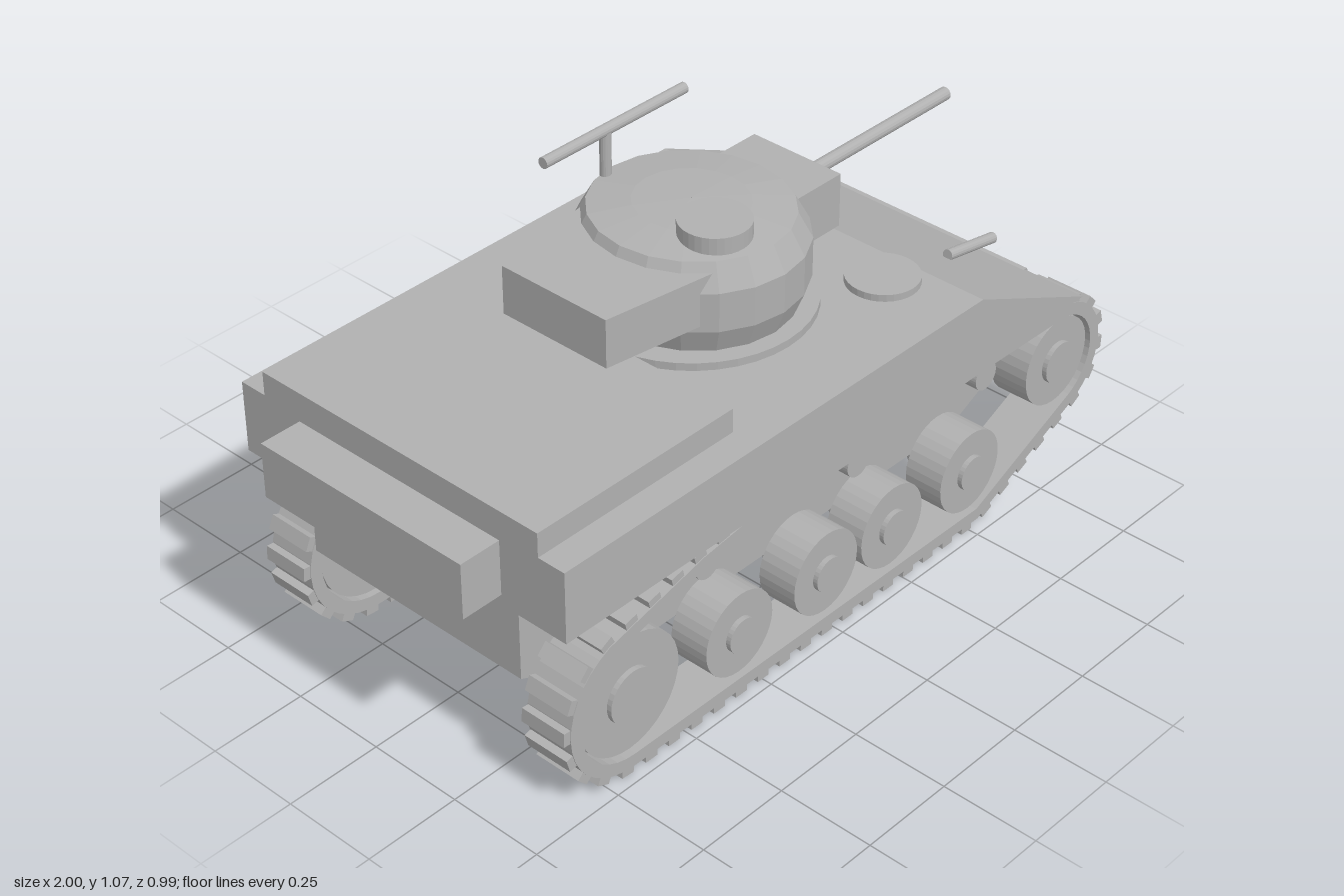
import * as THREE from 'three';

const steel = new THREE.MeshStandardMaterial({ color: 0xb0b0b0 });
steel.name = 'bare steel';
steel.flatShading = true;

function add(parent, name, geometry, x = 0, y = 0, z = 0) {
  const mesh = new THREE.Mesh(geometry, steel);
  mesh.name = name;
  mesh.position.set(x, y, z);
  parent.add(mesh);
  return mesh;
}

// Box given by its limits
function box(parent, name, [x0, x1], [y0, y1], [z0, z1]) {
  return add(parent, name, new THREE.BoxGeometry(x1 - x0, y1 - y0, z1 - z0),
    (x0 + x1) / 2, (y0 + y1) / 2, (z0 + z1) / 2);
}

// Side outline in x, y, extruded across z
function slab(parent, name, points, z0, z1, hole) {
  const shape = new THREE.Shape(points.map(([x, y]) => new THREE.Vector2(x, y)));
  if (hole) shape.holes.push(new THREE.Path(hole.map(([x, y]) => new THREE.Vector2(x, y))));
  const g = new THREE.ExtrudeGeometry(shape, { depth: z1 - z0, bevelEnabled: false });
  return add(parent, name, g, 0, 0, z0);
}

// Round bar between two points
function rod(parent, name, a, b, radius, sides = 32) {
  const from = new THREE.Vector3(...a), to = new THREE.Vector3(...b);
  const dir = to.clone().sub(from);
  const mesh = add(parent, name, new THREE.CylinderGeometry(radius, radius, dir.length(), sides));
  mesh.position.copy(from).add(to).multiplyScalar(0.5);
  mesh.quaternion.setFromUnitVectors(new THREE.Vector3(0, 1, 0), dir.normalize());
  return mesh;
}

// Outer line of the track, counter-clockwise
function trackLine() {
  const pts = [];
  const arc = (cx, cy, r, a0, a1, n) => {
    for (let i = 0; i <= n; i++) {
      const a = THREE.MathUtils.degToRad(a0 + (a1 - a0) * i / n);
      pts.push([cx + r * Math.cos(a), cy + r * Math.sin(a)]);
    }
  };
  arc(-0.67, 0.213, 0.195, 112, 270, 16);
  pts.push([0.53, 0.018]);
  arc(0.815, 0.325, 0.163, -64, 86, 16);
  pts.push([0.5, 0.492], [-0.3, 0.485], [-0.45, 0.465]);
  return pts;
}

// Move every point of a closed line inward
function inset(pts, d) {
  const n = pts.length;
  return pts.map(([x, y], i) => {
    const [ax, ay] = pts[(i + n - 1) % n], [bx, by] = pts[(i + 1) % n];
    const l1 = Math.hypot(x - ax, y - ay), l2 = Math.hypot(bx - x, by - y);
    const tx = (x - ax) / l1 + (bx - x) / l2, ty = (y - ay) / l1 + (by - y) / l2;
    const l = Math.hypot(tx, ty);
    return [x - ty / l * d, y + tx / l * d];
  });
}

function runningGear(side) {
  const gear = new THREE.Group();
  gear.name = side > 0 ? 'nearRunningGear' : 'farRunningGear';
  const zs = (a, b) => (side > 0 ? [a, b] : [-b, -a]);
  const disc = (name, x, y, r, a, b) => rod(gear, name, [x, y, side * a], [x, y, side * b], r);

  // Track band and its cleats
  const line = trackLine();
  const [z0, z1] = zs(0.345, 0.475);
  slab(gear, 'trackBand', line, z0, z1, inset(line, 0.033));
  const path = new THREE.Shape(line.map(([x, y]) => new THREE.Vector2(x, y)));
  path.closePath();
  const cleat = new THREE.BoxGeometry(0.036, 0.026, 0.126);
  const count = 56;
  for (let i = 0; i < count; i++) {
    const p = path.getPointAt(i / count), t = path.getTangentAt(i / count);
    const m = add(gear, 'trackCleat', cleat, p.x + t.y * 0.006, p.y - t.x * 0.006, side * 0.41);
    m.rotation.z = Math.atan2(t.y, t.x);
  }

  // Drive wheel, idler, road wheels and return rollers
  disc('driveWheel', -0.67, 0.213, 0.155, 0.355, 0.46);
  disc('driveHub', -0.67, 0.213, 0.07, 0.31, 0.473);
  disc('idlerWheel', 0.828, 0.322, 0.118, 0.355, 0.46);
  disc('idlerHub', 0.828, 0.322, 0.055, 0.31, 0.473);
  for (const x of [-0.315, -0.02, 0.215, 0.505]) {
    disc('roadWheel', x, 0.165, 0.11, 0.355, 0.46);
    disc('roadWheelHub', x, 0.165, 0.045, 0.305, 0.473);
  }
  for (const x of [-0.41, 0.095, 0.56]) {
    disc('returnRollerAxle', x, 0.41, 0.022, 0.31, 0.37);
    disc('returnRoller', x, 0.41, 0.038, 0.36, 0.45);
  }
  return gear;
}

function buildTurret() {
  const turret = new THREE.Group();
  turret.name = 'turret';
  const cx = 0.025;

  // Ring and cast body with a shallow dome
  rod(turret, 'turretRing', [cx, 0.685, 0], [cx, 0.71, 0], 0.295, 40);
  const profile = [[0.001, 0.7], [0.25, 0.7], [0.28, 0.775], [0.28, 0.875], [0.245, 0.938],
    [0.14, 0.951], [0.001, 0.957]].map(([r, y]) => new THREE.Vector2(r, y));
  add(turret, 'turretBody', new THREE.LatheGeometry(profile, 20), cx).scale.x = 0.95;

  // Rear stowage box, narrower towards the back
  const rear = new THREE.Shape([[-0.415, -0.157], [-0.1, -0.205], [-0.1, 0.205], [-0.415, 0.157]]
    .map(([x, y]) => new THREE.Vector2(x, y)));
  const g = new THREE.ExtrudeGeometry(rear, { depth: 0.125, bevelEnabled: false });
  add(turret, 'turretRearBox', g, 0, 0.79, 0).rotation.x = -Math.PI / 2;

  // Gun and its shield
  box(turret, 'gunShield', [0.15, 0.385], [0.773, 0.912], [-0.132, 0.132]);
  rod(turret, 'mainGun', [0.3, 0.842, 0], [0.935, 0.842, 0], 0.017, 16);

  // Roof hatch and roof gun
  rod(turret, 'roofHatch', [-0.035, 0.93, 0.125], [-0.035, 0.983, 0.125], 0.086);
  rod(turret, 'roofGunPost', [-0.012, 0.9, -0.23], [-0.012, 1.05, -0.23], 0.014, 16);
  rod(turret, 'roofGun', [-0.21, 1.055, -0.23], [0.25, 1.055, -0.23], 0.014, 16);
  return turret;
}

export function createModel() {
  const model = new THREE.Group();
  model.name = 'tank';

  // Hull
  slab(model, 'lowerHull', [[-0.86, 0.51], [-0.86, 0.295], [-0.6, 0.18], [0.6, 0.18],
    [0.945, 0.345], [0.87, 0.51]], -0.325, 0.325);
  slab(model, 'upperHull', [[-0.89, 0.505], [0.868, 0.505], [0.468, 0.69], [-0.89, 0.69]], -0.495, 0.495);
  box(model, 'engineDeck', [-0.89, -0.3], [0.68, 0.752], [-0.42, 0.42]);
  box(model, 'rearBox', [-1, -0.88], [0.532, 0.675], [-0.307, 0.307]);

  // Crew hatches and bow gun
  for (const z of [-0.275, 0.275]) {
    rod(model, 'crewHatch', [0.375, 0.68, z], [0.375, 0.708, z], 0.09);
  }
  rod(model, 'bowGun', [0.66, 0.61, 0.242], [0.835, 0.578, 0.242], 0.014, 16);

  model.add(buildTurret(), runningGear(1), runningGear(-1));
  return model;
}
